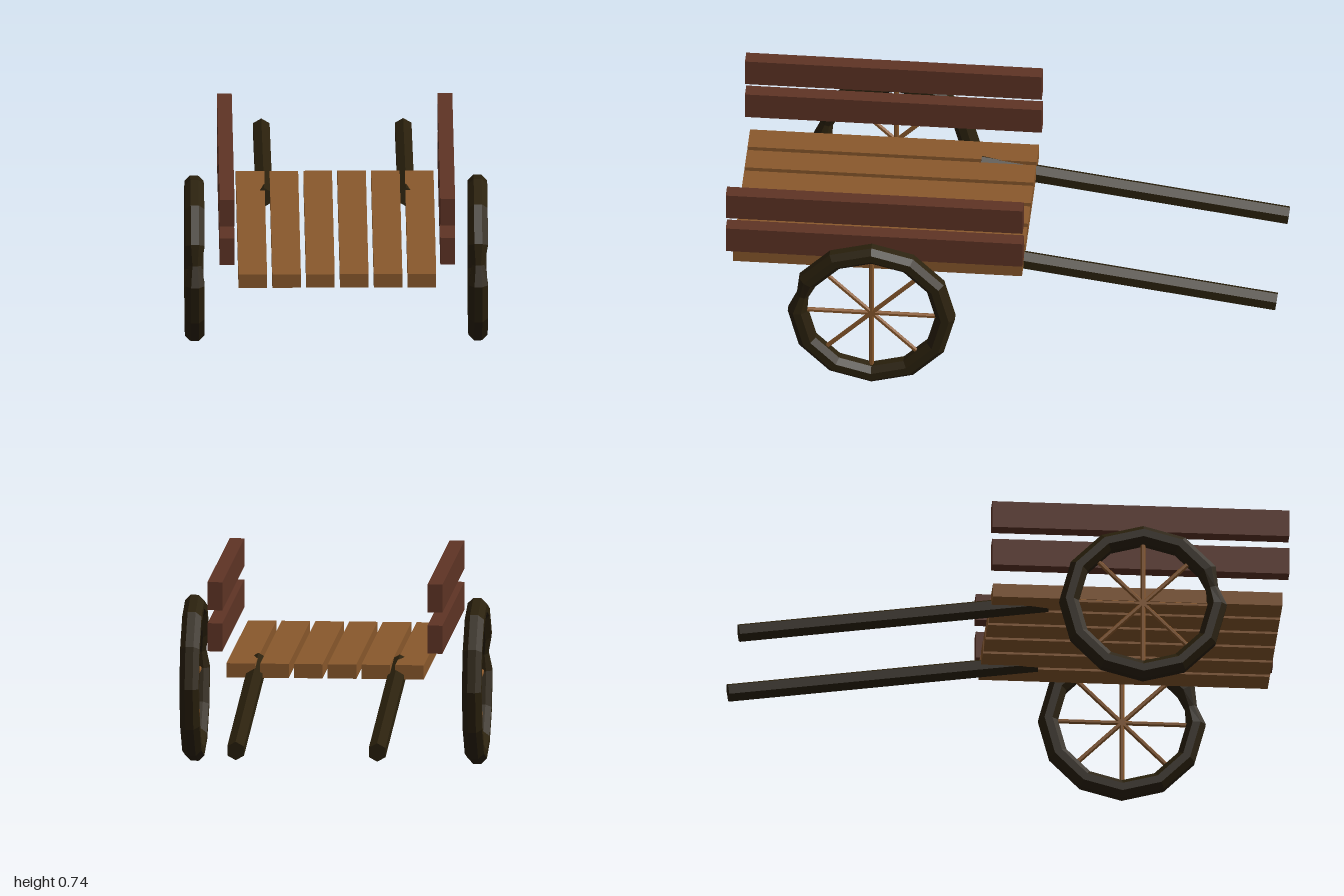
import * as THREE from 'three';

const plankWood = new THREE.MeshStandardMaterial({ color: 0x8a592c, flatShading: true });
plankWood.name = 'plank wood';
const railWood = new THREE.MeshStandardMaterial({ color: 0x5f3425, flatShading: true });
railWood.name = 'rail wood';
const darkWood = new THREE.MeshStandardMaterial({ color: 0x2b210d, flatShading: true });
darkWood.name = 'dark wood';

function part(name, geometry, material, x = 0, y = 0, z = 0) {
  const mesh = new THREE.Mesh(geometry, material);
  mesh.name = name;
  mesh.position.set(x, y, z);
  return mesh;
}

// Twelve-sided hoop with an octagonal section, pinched at its joint
function rimGeometry(R, r) {
  const sides = 8, steps = 24;
  const geo = new THREE.TorusGeometry(R, r, sides, steps);
  const pos = geo.attributes.position;
  for (let j = 0; j <= sides; j++) {
    for (let i = 0; i <= steps; i++) {
      const u = (i / steps) * Math.PI * 2;
      const v = ((j + 0.5) / sides) * Math.PI * 2;
      const section = i === 1 ? r * 0.65 : r;
      const chord = i % 2 ? Math.cos(Math.PI / 12) : 1;
      const d = (R + section * Math.cos(v)) * chord;
      pos.setXYZ(j * (steps + 1) + i, d * Math.cos(u), d * Math.sin(u), section * Math.sin(v));
    }
  }
  geo.rotateY(-Math.PI / 2);
  geo.computeVertexNormals();
  return geo;
}

// Wheel: dark rim and four full-width spokes crossing at the centre
function makeWheel(name, x) {
  const wheel = new THREE.Group();
  wheel.name = name;
  wheel.position.set(x, 0.31, 0.46);
  wheel.add(part('rim', rimGeometry(0.27, 0.038), darkWood));
  for (let i = 0; i < 4; i++) {
    const spoke = part('spoke', new THREE.CylinderGeometry(0.009, 0.009, 0.52, 6), plankWood);
    spoke.rotation.x = (i * Math.PI) / 4;
    wheel.add(spoke);
  }
  return wheel;
}

// Six-sided pole running between two points
function makeHandle(name, x) {
  const a = new THREE.Vector3(x, 0.42, 0.13);
  const b = new THREE.Vector3(x, 0.261, -0.995);
  const dir = b.clone().sub(a);
  const geo = new THREE.CylinderGeometry(0.035, 0.035, dir.length(), 6);
  const handle = part(name, geo, darkWood);
  handle.position.copy(a).add(b).multiplyScalar(0.5);
  handle.quaternion.setFromUnitVectors(new THREE.Vector3(0, 1, 0), dir.normalize());
  return handle;
}

export function createModel() {
  const cart = new THREE.Group();
  cart.name = 'handCart';

  // Bed of six planks
  for (let i = 0; i < 6; i++) {
    cart.add(part('bedPlank', new THREE.BoxGeometry(0.104, 0.052, 1.055), plankWood,
      (i - 2.5) * 0.123, 0.419, 0.4525));
  }

  // Rails, wheels and handles on both sides
  for (const [side, s] of [['left', 1], ['right', -1]]) {
    for (const y of [0.541, 0.692]) {
      cart.add(part(side + 'Rail', new THREE.BoxGeometry(0.054, 0.103, 1.083), railWood,
        s * 0.401, y, 0.4585));
    }
    cart.add(makeWheel(side + 'Wheel', s * 0.515));
    cart.add(makeHandle(side + 'Handle', s * 0.258));
  }
  return cart;
}
